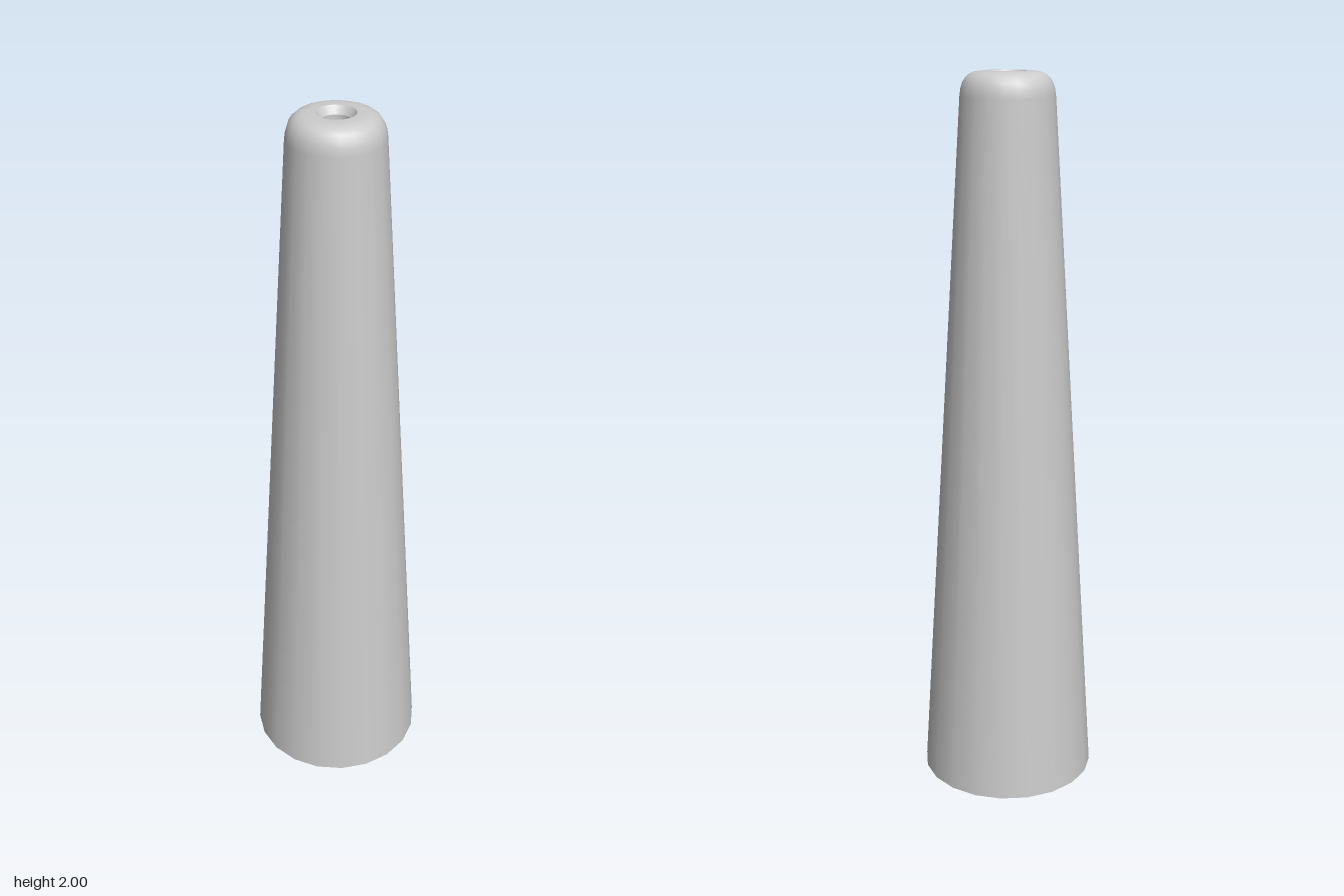
import * as THREE from 'three';

const SIDES = 20;

// Points of a quarter-round corner between two edges, starting on p and ending on q
function roundCorner(p, corner, q, steps = 6) {
  const curve = new THREE.QuadraticBezierCurve(
    new THREE.Vector2(...p), new THREE.Vector2(...corner), new THREE.Vector2(...q));
  return curve.getPoints(steps).map(v => [v.x, v.y]);
}

export function createModel() {
  const group = new THREE.Group();
  group.name = 'taperedSleeve';
  const material = new THREE.MeshStandardMaterial({ color: 0xcccccc });

  // Each band is turned separately so the edges between bands stay sharp
  const addBand = (name, profile) => {
    const points = profile.map(([r, y]) => new THREE.Vector2(r, y));
    const mesh = new THREE.Mesh(new THREE.LatheGeometry(points, SIDES), material);
    mesh.name = name;
    group.add(mesh);
  };

  // Tapered outside with a rounded shoulder and flat top
  addBand('outerShell', [
    [0.245, 0],
    ...roundCorner([0.127, 1.935], [0.123, 2], [0.07, 2]),
    [0.051, 2],
  ]);

  // Chamfered hole through the top
  addBand('holeChamfer', [[0.051, 2], [0.037, 1.98]]);
  addBand('holeBore', [[0.037, 1.98], [0.037, 1.965]]);

  // Hollow inside, following the outer taper
  addBand('innerShell', [
    [0.037, 1.965],
    ...roundCorner([0.06, 1.965], [0.102, 1.965], [0.105, 1.92]),
    [0.222, 0],
  ]);

  // Wall edge at the open base
  addBand('baseRim', [[0.222, 0], [0.245, 0]]);

  return group;
}
